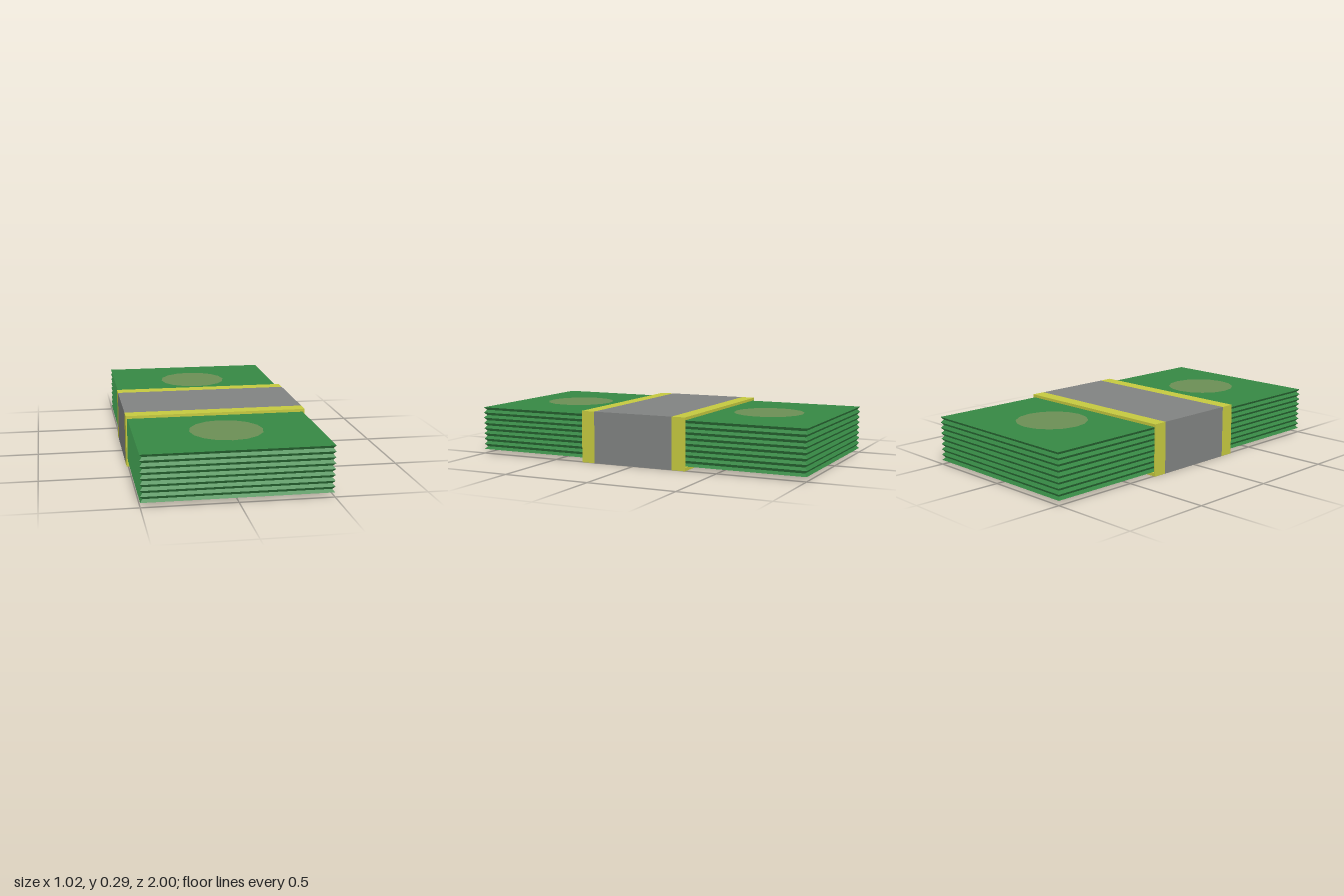
import * as THREE from 'three';

const material = (color) => new THREE.MeshStandardMaterial({ color, flatShading: true });

// Stack with zigzag edges: every second level of a box is drawn inward
function pleatedStack(width, height, depth, sheets, inset) {
  const levels = sheets * 2;
  const geometry = new THREE.BoxGeometry(width, height, depth, 1, levels, 1);
  const p = geometry.attributes.position;
  for (let i = 0; i < p.count; i++) {
    const level = Math.round((p.getY(i) / height + 0.5) * levels);
    if (level % 2 === 1) {
      p.setX(i, p.getX(i) - Math.sign(p.getX(i)) * inset);
      p.setZ(i, p.getZ(i) - Math.sign(p.getZ(i)) * inset);
    }
  }
  const flat = geometry.toNonIndexed();
  flat.computeVertexNormals();
  return flat;
}

function rectangle(target, x, y0, y1) {
  target.moveTo(-x, y0);
  target.lineTo(x, y0);
  target.lineTo(x, y1);
  target.lineTo(-x, y1);
  target.closePath();
  return target;
}

// Hollow rectangular sleeve running from z0 to z1
function sleeve(z0, z1) {
  const shape = rectangle(new THREE.Shape(), 0.51, 0, 0.293);
  shape.holes.push(rectangle(new THREE.Path(), 0.503, 0.018, 0.277));
  const geometry = new THREE.ExtrudeGeometry(shape, { depth: z1 - z0, bevelEnabled: false });
  return geometry.translate(0, 0, z0);
}

export function createModel() {
  const group = new THREE.Group();
  const green = material(0x368844);
  const yellow = material(0xc4c83f);
  const grey = material(0x808281);
  const olive = material(0x6b8e55);

  const add = (name, geometry, mat) => {
    const mesh = new THREE.Mesh(geometry, mat);
    mesh.name = name;
    group.add(mesh);
    return mesh;
  };

  // Paper stack
  add('noteStack', pleatedStack(1, 0.25, 2, 8, 0.013), green).position.y = 0.15;

  // Round marks on the top sheet
  for (const [name, z] of [['frontMark', 0.63], ['backMark', -0.61]]) {
    const disc = new THREE.CircleGeometry(0.2, 16).rotateX(-Math.PI / 2);
    add(name, disc, olive).position.set(0, 0.277, z);
  }

  // Wrapping band with coloured borders
  add('band', sleeve(-0.24, 0.24), grey);
  add('frontBandBorder', sleeve(0.24, 0.32), yellow);
  add('backBandBorder', sleeve(-0.32, -0.24), yellow);

  return group;
}
